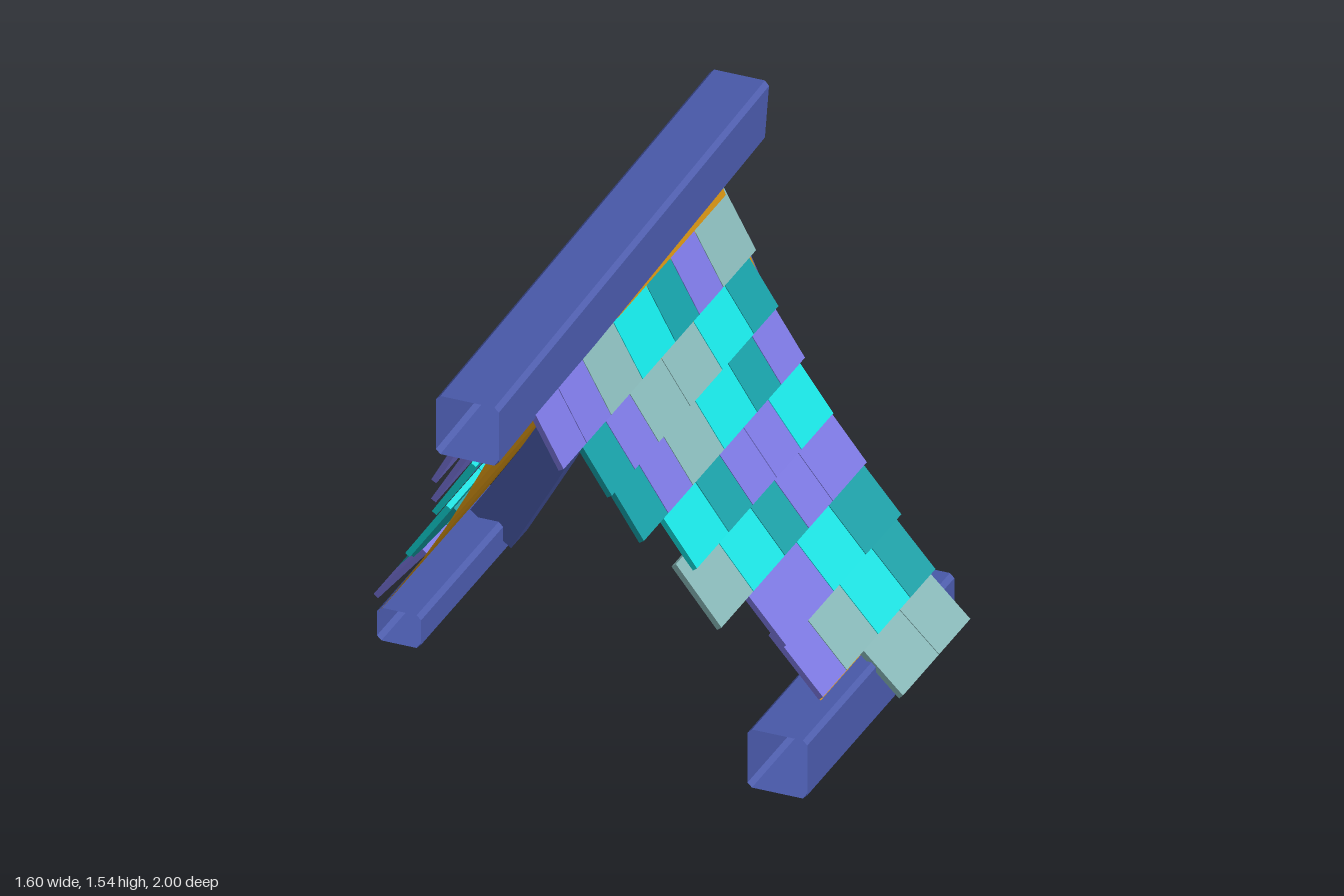
import * as THREE from 'three';

const mat = (color) => new THREE.MeshStandardMaterial({ color, side: THREE.DoubleSide, flatShading: true });
const wood = mat(0x4858a8), cut = mat(0xe010e0), cloth = mat(0xc98a10), purlinWood = mat(0x4a9ab5);
const tones = { P: mat(0x7874dc), G: mat(0x83b3b3), C: mat(0x10dcdc), T: mat(0x119ba2) };

// Quad strip between two rings or polylines of equal length
function strip(a, b) {
  const p = [];
  for (let i = 0; i < a.length - 1; i++)
    for (const v of [a[i], a[i + 1], b[i + 1], a[i], b[i + 1], b[i]]) p.push(v.x, v.y, v.z);
  const g = new THREE.BufferGeometry();
  g.setAttribute('position', new THREE.Float32BufferAttribute(p, 3));
  g.computeVertexNormals();
  return g;
}

// Closed octagonal outline: a rectangle with slightly cut corners
function outline(x0, x1, y0, y1, zAt) {
  const c = 0.014;
  return [[x0 + c, y0], [x1 - c, y0], [x1, y0 + c], [x1, y1 - c], [x1 - c, y1], [x0 + c, y1],
    [x0, y1 - c], [x0, y0 + c], [x0 + c, y0]].map(([x, y]) => new THREE.Vector3(x, y, zAt(y)));
}

// Hollow beam: open at the front, closed by a coloured cut face at the back
function beam(name, front, back, material) {
  const g = new THREE.Group();
  g.name = name;
  const body = new THREE.Mesh(strip(front, back), material);
  body.name = name + 'Sides';
  const centre = back.slice(0, 8).reduce((s, v) => s.add(v), new THREE.Vector3()).divideScalar(8);
  const end = new THREE.Mesh(strip(back.map(() => centre), back.slice().reverse()), cut);
  end.name = name + 'CutEnd';
  g.add(body, end);
  return g;
}

// Each row: lower edge [x, y], z boundaries from back to front, tones in the same order
const leftSide = {
  name: 'left', top: [-0.02, 1.36], sign: 1,
  outer: [[0.65, 0.19], [0.42, 0.5], [0.26, 0.76], [0.1, 1.1], [-0.01, 1.36]],
  inner: [[0.52, 0.1], [0.33, 0.4], [0.17, 0.66], [0.02, 0.94], [-0.09, 1.2]],
  rows: [
    [[0.09, 1.16], [-0.68, -0.44, -0.265, -0.09, 0.15, 0.38, 0.56, 0.73], 'GPTCGPP'],
    [[0.17, 1.0], [-0.66, -0.48, -0.25, -0.015, 0.215, 0.39, 0.56], 'TCGGPT'],
    [[0.25, 0.84], [-0.67, -0.495, -0.32, -0.08, 0.15, 0.33, 0.51], 'PTCGPT'],
    [[0.345, 0.68], [-0.66, -0.425, -0.245, -0.07, 0.105, 0.34], 'CPPTC'],
    [[0.445, 0.53], [-0.675, -0.425, -0.25, -0.075, 0.155, 0.39], 'PPTCG'],
    [[0.555, 0.38], [-0.675, -0.415, -0.18, 0.17], 'TCP'],
    [[0.67, 0.23], [-0.66, -0.475, -0.24, -0.01, 0.165], 'TCGP'],
    [[0.79, 0.1], [-0.64, -0.41, -0.145], 'GG'],
  ],
};
const rightSide = {
  name: 'right', top: [-0.19, 1.36], sign: -1,
  outer: [[-0.76, 0.16], [-0.57, 0.45], [-0.41, 0.75], [-0.29, 1.02], [-0.17, 1.34]],
  inner: [[-0.63, 0.06], [-0.45, 0.38], [-0.36, 0.57], [-0.22, 0.87], [-0.09, 1.2]],
  rows: [
    [[-0.285, 1.15], [-0.69, -0.5, -0.37, -0.12, 0.1, 0.32, 0.55, 0.72], 'TPGTCGT'],
    [[-0.35, 0.98], [-0.69, -0.51, -0.34, -0.1, 0.13, 0.3, 0.48, 0.65], 'TPGCTPP'],
    [[-0.425, 0.81], [-0.69, -0.51, -0.34, -0.1, 0.12, 0.3, 0.48], 'PGCTPP'],
    [[-0.505, 0.65], [-0.7, -0.53, -0.3, -0.12, 0.06, 0.29], 'CTPPC'],
    [[-0.59, 0.49], [-0.71, -0.53, -0.36, -0.18, 0.05, 0.29], 'CTPCC'],
    [[-0.685, 0.335], [-0.71, -0.47, -0.3, -0.13, 0.04], 'GTCT'],
    [[-0.795, 0.18], [-0.7, -0.53, -0.3, -0.12, 0.05], 'GCTP'],
  ],
};

function slope({ name, top, sign, outer, inner, rows }) {
  const g = new THREE.Group();
  g.name = name + 'Slope';

  // Curved rafter at the back
  const v2 = (pts) => new THREE.SplineCurve(pts.map((p) => new THREE.Vector2(...p))).getPoints(10);
  const edge = v2(outer);
  const shape = new THREE.Shape([...edge, ...v2(inner).reverse()]);
  const rafter = new THREE.Mesh(new THREE.ExtrudeGeometry(shape, { depth: 0.12, bevelEnabled: false }), wood);
  rafter.name = name + 'Rafter';
  rafter.position.z = -0.68;
  g.add(rafter);

  // Lining sheet under the shingles
  const line = (z) => edge.map((p) => new THREE.Vector3(p.x + sign * 0.004, p.y, z));
  const lining = new THREE.Mesh(strip(line(-0.67), line(0.12)), cloth);
  lining.name = name + 'Lining';
  g.add(lining);

  // Overlapping shingle rows, from the ridge down
  let upper = top;
  rows.forEach(([low, zs, keys], r) => {
    const dx = low[0] - upper[0], dy = low[1] - upper[1];
    for (let i = 0; i < keys.length; i++) {
      const s = new THREE.Mesh(
        new THREE.BoxGeometry(Math.hypot(dx, dy), 0.018, zs[i + 1] - zs[i] - 0.003), tones[keys[i]]);
      s.name = `${name}Shingle${r + 1}_${i + 1}`;
      s.position.set((low[0] + upper[0]) / 2, (low[1] + upper[1]) / 2, (zs[i] + zs[i + 1]) / 2);
      s.rotation.z = Math.atan2(dy, dx);
      g.add(s);
    }
    upper = [low[0] - sign * 0.045, low[1] + 0.03];
  });
  return g;
}

export function createModel() {
  const model = new THREE.Group();
  model.name = 'roofFrame';
  const flat = (z) => () => z;

  // Ridge beam rises towards the back, where its end is cut at a slant
  model.add(beam('ridgeBeam',
    outline(-0.19, 0.01, 1.295, 1.49, flat(1)),
    outline(-0.19, 0, 1.355, 1.54, (y) => -0.965 - (y - 1.355) * 0.19), wood));
  model.add(beam('purlin',
    outline(-0.15, -0.04, 1.26, 1.36, flat(-0.5)), outline(-0.15, -0.04, 1.26, 1.36, flat(-0.76)), purlinWood));

  // Foot beams
  model.add(beam('leftFootBeam',
    outline(0.52, 0.71, 0, 0.195, flat(0.355)), outline(0.52, 0.71, 0, 0.195, flat(-0.72)), wood));
  model.add(beam('rightFootBeam',
    outline(-0.795, -0.655, 0.03, 0.14, flat(0.04)), outline(-0.795, -0.655, 0.03, 0.14, flat(-0.748)), wood));

  model.add(slope(leftSide), slope(rightSide));
  return model;
}
